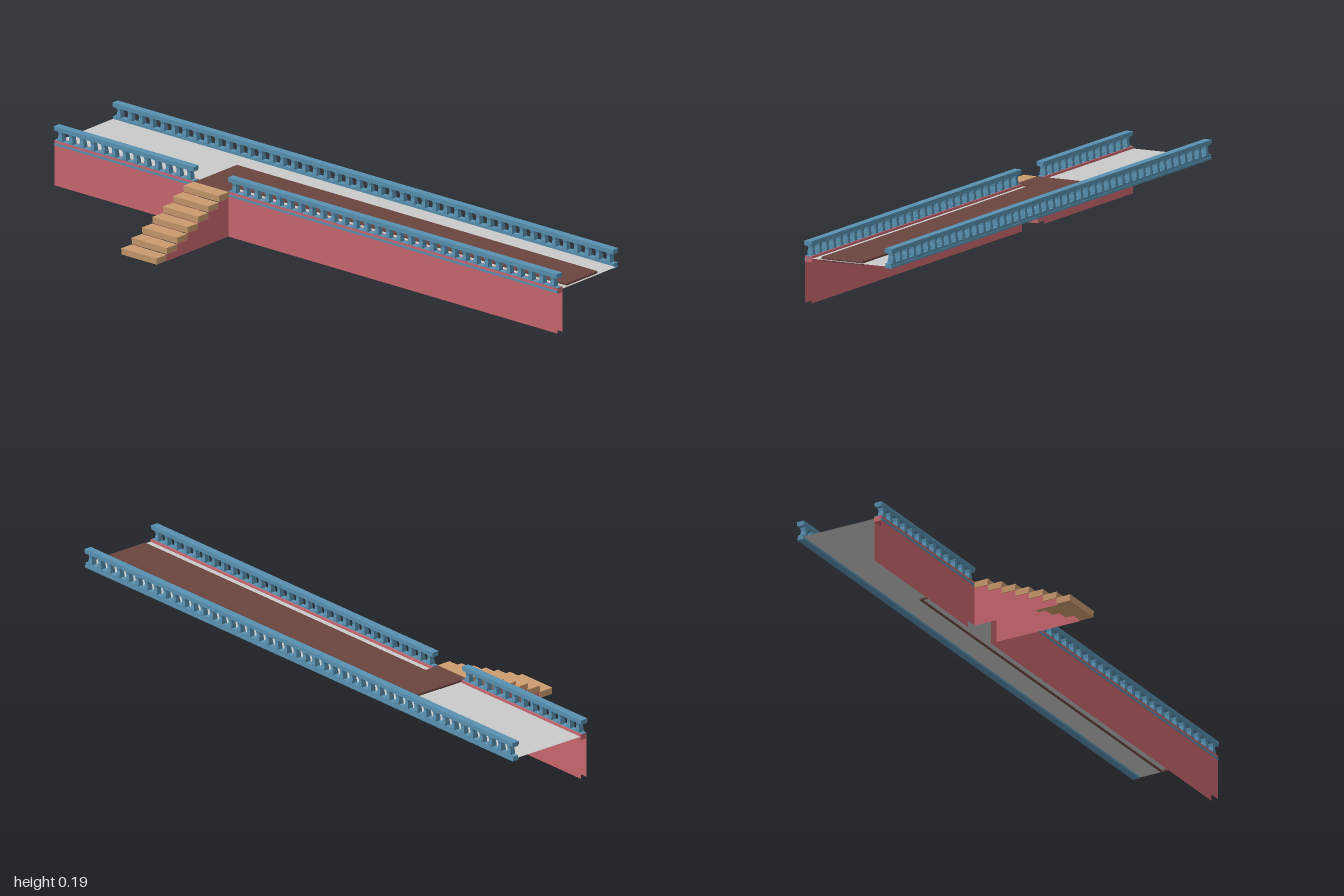
import * as THREE from 'three';
import { mergeGeometries } from 'three/addons/utils/BufferGeometryUtils.js';

function material(name, color, side = THREE.FrontSide) {
  const m = new THREE.MeshStandardMaterial({ color, side, flatShading: true });
  m.name = name;
  return m;
}

function mesh(name, geometry, mat) {
  const m = new THREE.Mesh(geometry, mat);
  m.name = name;
  return m;
}

// box given by its limits
function block(x0, x1, y0, y1, z0, z1) {
  return new THREE.BoxGeometry(x1 - x0, y1 - y0, z1 - z0)
    .translate((x0 + x1) / 2, (y0 + y1) / 2, (z0 + z1) / 2);
}

function shapeOf(points) {
  return new THREE.Shape(points.map(([x, y]) => new THREE.Vector2(x, y)));
}

// base, cap and a row of square waisted balusters
function balustrade(x, z0, z1) {
  const parts = [
    block(x - 0.011, x + 0.011, 0.13, 0.137, z0, z1),
    block(x - 0.009, x + 0.009, 0.137, 0.146, z0, z1),
    block(x - 0.01, x + 0.01, 0.176, 0.18, z0, z1),
    block(x - 0.0125, x + 0.0125, 0.18, 0.191, z0, z1),
  ];
  const profile = [[0.0095, 0.146], [0.0095, 0.152], [0.0075, 0.166], [0.0095, 0.176]]
    .map(([r, y]) => new THREE.Vector2(r * Math.SQRT2, y));
  const count = Math.round((z1 - z0) / 0.0435);
  const step = (z1 - z0) / count;
  for (let i = 0; i < count; i++) {
    parts.push(new THREE.LatheGeometry(profile, 4, Math.PI / 4)
      .scale(1, 1, 0.85).translate(x, 0, z0 + step * (i + 0.5)));
  }
  return mergeGeometries(parts);
}

export function createModel() {
  const model = new THREE.Group();
  model.name = 'raisedWalkway';
  const D = THREE.DoubleSide;
  const red = material('red masonry', 0xc8666e, D);
  const blue = material('blue railing', 0x5890b0);
  const tan = material('tan stone', 0xcb9b6e);
  const brown = material('brown carpet', 0x6b443f, D);
  const grey = material('grey paving', 0xcacaca, D);

  // stretches of wall on both sides of the stair opening
  const gap0 = -0.445, gap1 = -0.308;
  for (const [name, z0, z1] of [['back', -1, gap0], ['front', gap1, 1]]) {
    const sheets = [[0.021, -1], [0.044, 1]].map(([x, side]) =>
      new THREE.PlaneGeometry(z1 - z0, 0.13).rotateY(side * Math.PI / 2)
        .translate(x, 0.065, (z0 + z1) / 2));
    model.add(mesh(name + 'Wall', mergeGeometries(sheets), red));
    model.add(mesh(name + 'Coping', block(0.021, 0.045, 0.127, 0.145, z0, z1), red));
    model.add(mesh(name + 'Railing', balustrade(0.0305, z0, z1), blue));
  }
  model.add(mesh('leftRailing', balustrade(0.303, -1, 0.99), blue));

  // thin deck
  model.add(mesh('deck', new THREE.PlaneGeometry(0.25, 2).rotateX(-Math.PI / 2)
    .translate(0.168, 0.138, 0), grey));

  // L-shaped carpet: a top sheet with a skirt that is open below
  const outline = (d) => shapeOf([
    [0.022 + d, 0.441 - d], [0.022 + d, 0.312 + d], [0.073 + d, 0.312 + d],
    [0.073 + d, -0.992 + d], [0.216 - d, -0.992 + d], [0.216 - d, 0.441 - d],
  ]);
  model.add(mesh('carpetTop', new THREE.ShapeGeometry(outline(0))
    .rotateX(-Math.PI / 2).translate(0, 0.145, 0), brown));
  const rim = outline(0);
  rim.holes.push(outline(0.004));
  model.add(mesh('carpetSkirt', new THREE.ExtrudeGeometry(rim, { depth: 0.012, bevelEnabled: false })
    .rotateX(-Math.PI / 2).translate(0, 0.132, 0), brown));

  // seven slightly uneven stone steps
  const stairs = new THREE.Group();
  stairs.name = 'stairs';
  const run = 0.0482, rise = 0.0202, start = -0.316;
  for (let i = 0; i < 7; i++) {
    const x = start + i * run, y = 0.003 + i * rise;
    const g = block(x, x + run, y, y + 0.0205, -0.446, -0.306);
    const p = g.attributes.position;
    for (let k = 0; k < p.count; k++) {
      const low = p.getY(k) < y + 0.01, outer = p.getX(k) < x + 0.01;
      if (low && outer) p.setX(k, p.getX(k) + 0.002);
      if (!low && !outer) p.setY(k, p.getY(k) - 0.001);
    }
    stairs.add(mesh('step', g, tan));
  }

  // stepped side panels that carry the stones
  const edge = [[0.024, 0], [start + run, 0]];
  for (let i = 1; i < 7; i++) {
    const y = 0.003 + i * rise;
    edge.push([start + i * run, y], [start + (i + 1) * run, y]);
  }
  edge.push([0.024, 0.003 + 6 * rise]);
  for (const z of [-0.443, -0.309]) {
    stairs.add(mesh('stairSide', new THREE.ShapeGeometry(shapeOf(edge)).translate(0, 0, z), red));
  }
  model.add(stairs);
  return model;
}
